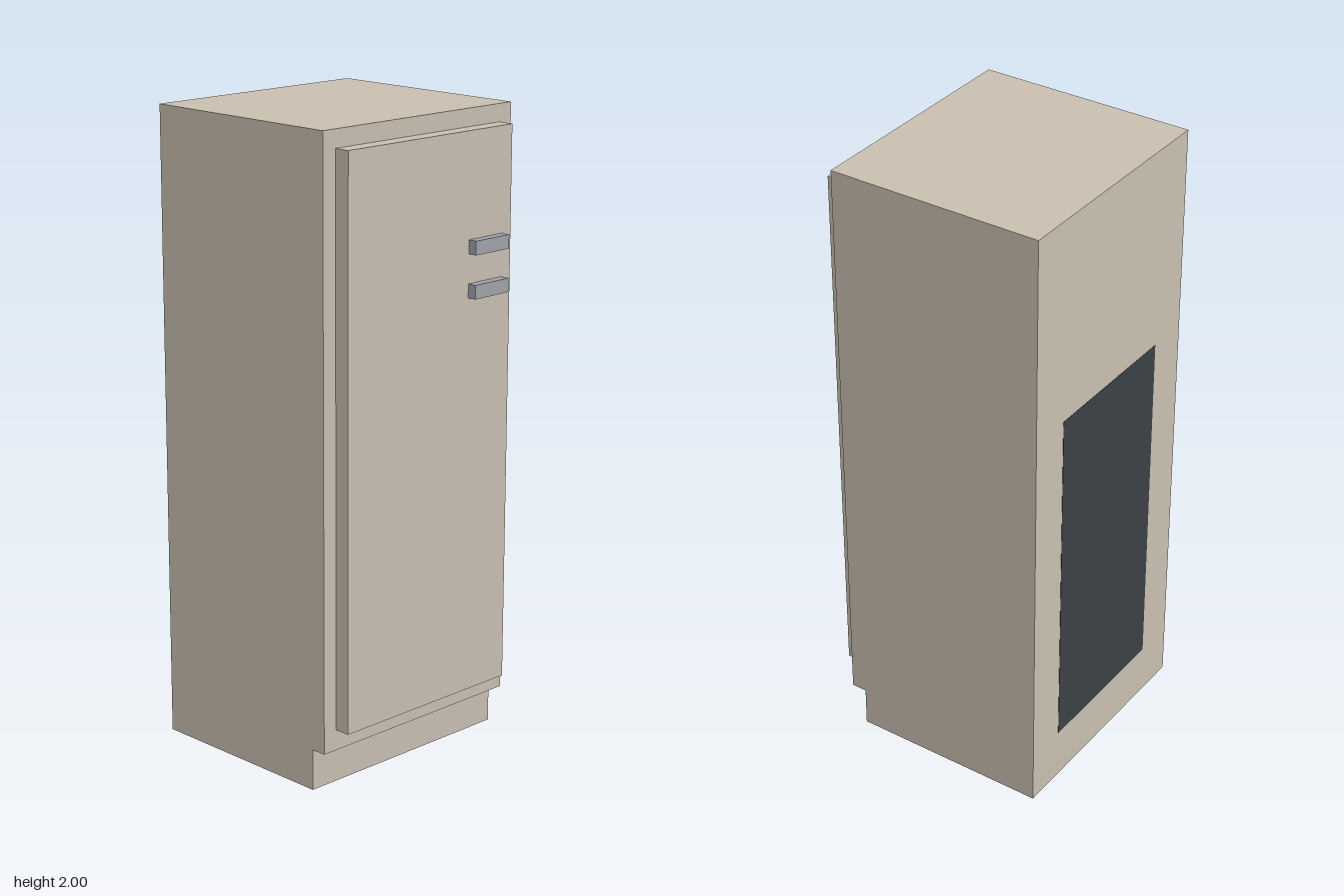
import * as THREE from 'three';

const material = (color) => new THREE.MeshStandardMaterial({ color });

// Box given by its min and max corners
function box(name, min, max, mat) {
  const size = max.map((v, i) => v - min[i]);
  const mesh = new THREE.Mesh(new THREE.BoxGeometry(...size), mat);
  mesh.position.set(...max.map((v, i) => (v + min[i]) / 2));
  mesh.name = name;
  return mesh;
}

export function createModel() {
  const group = new THREE.Group();
  group.name = 'refrigerator';
  const enamel = material(0xc8bfb0);
  const metal = material(0x9ea3a9);
  const dark = material(0x3a4046);

  // Cabinet: side profile (z, y) with a recessed toe kick, extruded across the width
  const profile = new THREE.Shape([
    [-0.389, 0], [0.26, 0], [0.26, 0.13], [0.31, 0.13], [0.31, 2], [-0.389, 2],
  ].map(([z, y]) => new THREE.Vector2(z, y)));
  const cabinetGeometry = new THREE.ExtrudeGeometry(profile, { depth: 0.778, bevelEnabled: false });
  cabinetGeometry.translate(0, 0, -0.389).rotateY(-Math.PI / 2);
  const cabinet = new THREE.Mesh(cabinetGeometry, enamel);
  cabinet.name = 'cabinet';
  group.add(cabinet);

  // Door slab on the front
  group.add(box('door', [-0.34, 0.195, 0.31], [0.34, 1.945, 0.361], enamel));

  // Two short bar handles
  for (const [name, y] of [['upperHandle', 1.578], ['lowerHandle', 1.445]]) {
    group.add(box(name, [0.158, y, 0.361], [0.303, y + 0.043, 0.39], metal));
  }

  // Thin dark panel on the back
  group.add(box('backPanel', [-0.25, 0.17, -0.39], [0.25, 1.34, -0.387], dark));

  return group;
}
